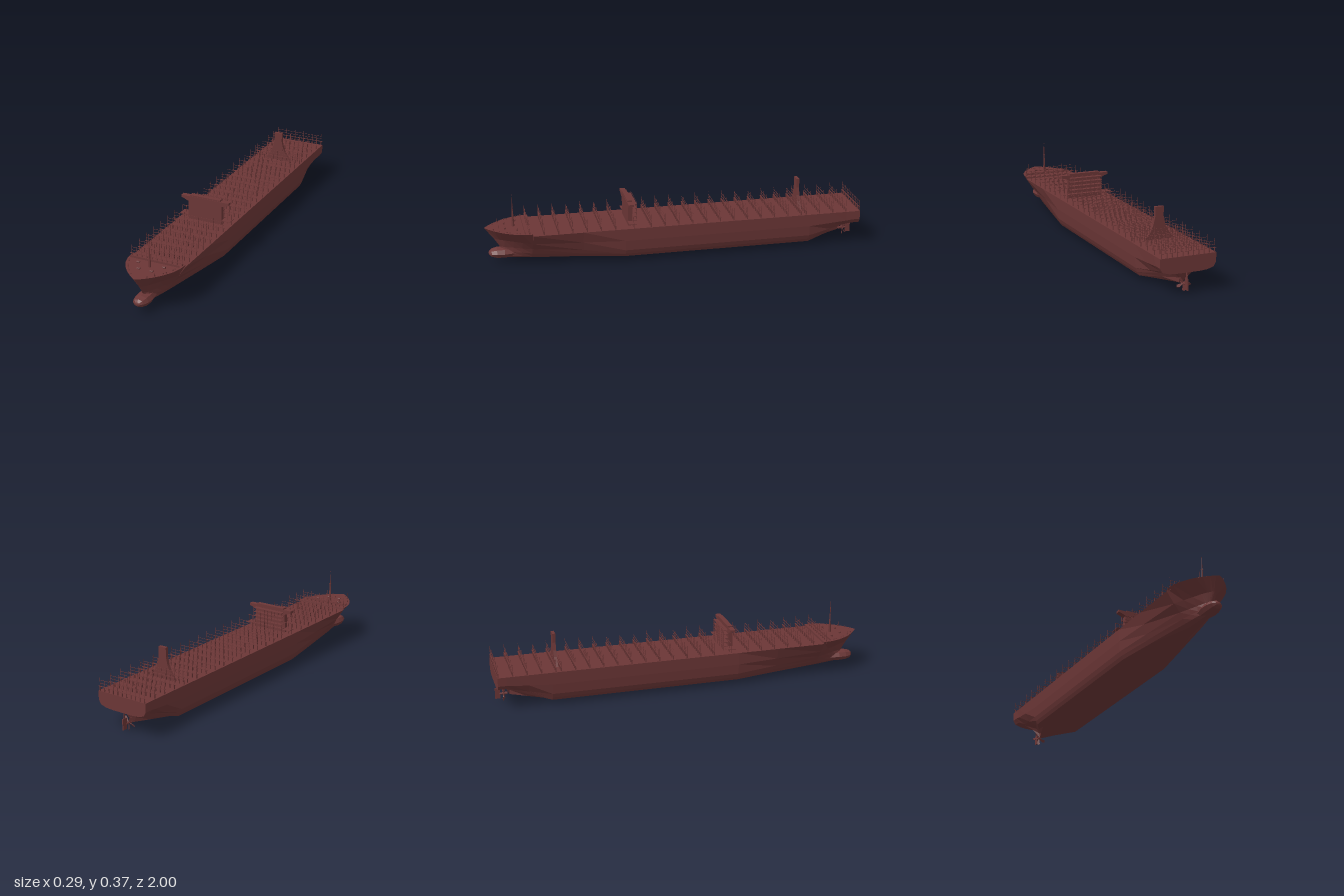
import * as THREE from 'three';
import { mergeGeometries } from 'three/addons/utils/BufferGeometryUtils.js';

const paint = new THREE.MeshStandardMaterial({ color: 0x6b3636, flatShading: true, side: THREE.DoubleSide });
paint.name = 'oxide red';

const DECK = 0.186, FORE = 0.197;

// Box given by its limits
function box(x0, x1, y0, y1, z0, z1) {
  return new THREE.BoxGeometry(x1 - x0, y1 - y0, z1 - z0)
    .translate((x0 + x1) / 2, (y0 + y1) / 2, (z0 + z1) / 2);
}

// Half sections from keel up to just below the deck edge
const transom = [[0, .105], [.03, .105], [.06, .105], [.1, .108], [.133, .118], [.146, .14]];
const skeg = [[0, .034], [.008, .035], [.01, .06], [.03, .085], [.105, .1], [.144, .135]];
const midship = [[0, .018], [.085, .018], [.12, .025], [.13, .042], [.139, .065], [.145, .12]];
const entry = [[0, .02], [.022, .021], [.046, .036], [.06, .058], [.076, .088], [.108, .128]];
const stem = [[0, .028], [.01, .03], [.021, .042], [.022, .066], [.02, .09], [.038, .134]];

// Deck edge narrows in a rounded curve over the bow
function deckHalf(z) {
  const t = Math.max(0, (z - .77) / .23);
  return .147 * Math.max(0, 1 - t * t) ** .9;
}

// Closed loop across the ship from [x, y, z] points of one side
const loop = half => [...half.slice(1).reverse(), ...half.map(([x, y, z]) => [-x, y, z])];

// Section blended between two others, closed with the deck edge
function section(z, a, b, t, deckY = DECK) {
  const half = a.map(([x, y], i) => [x + (b[i][0] - x) * t, y + (b[i][1] - y) * t, z]);
  return loop([...half, [deckHalf(z), deckY, z]]);
}

// Raked bow section: each waterline runs from the last frame to the stem
function bowSection(s) {
  const half = stem.map(([x, y]) => {
    const end = .917 + Math.max(0, y - .08) * .65;
    return [x * (1 - s) ** .8, y, .9 + (end - .9) * s];
  });
  const z = .9 + .1 * s;
  return loop([...half, [deckHalf(z), FORE, z]]);
}

function hullGeometry() {
  const loops = [
    section(-1, transom, skeg, 0),
    section(-.955, transom, skeg, .1),
    section(-.925, skeg, midship, 0),
    section(-.84, skeg, midship, .42),
    section(-.72, midship, midship, 0),
    section(.28, midship, midship, 0),
    section(.5, midship, entry, .45),
    section(.76, entry, stem, 0),
    section(.761, entry, stem, 0, FORE),
    section(.81, entry, stem, .35, FORE),
    section(.855, entry, stem, .68, FORE),
    ...[0, .25, .5, .75, .9, 1].map(bowSection),
  ];
  const n = loops[0].length, out = [];
  for (let i = 0; i < loops.length - 1; i++) {
    for (let j = 0; j < n; j++) {
      const k = (j + 1) % n;
      const a = loops[i][j], b = loops[i][k], c = loops[i + 1][j], d = loops[i + 1][k];
      out.push(...a, ...c, ...b, ...b, ...c, ...d);
    }
  }
  // flat stern
  for (let j = 1; j < n - 1; j++) out.push(...loops[0][0], ...loops[0][j], ...loops[0][j + 1]);
  const g = new THREE.BufferGeometry();
  g.setAttribute('position', new THREE.Float32BufferAttribute(out, 3));
  g.computeVertexNormals();
  return g;
}

// Blunt faceted bulb, turned around the z axis
function bulbGeometry() {
  const profile = [[.3, .74], [.7, .82], [1, .9], [.95, .94], [.7, .968], [.35, .98], [0, .983]]
    .map(([r, z]) => new THREE.Vector2(r, z));
  return new THREE.LatheGeometry(profile, 8).rotateX(Math.PI / 2).scale(.043, .03, 1).translate(0, .056, 0);
}

// Cross-deck lashing gantry: legs, walkway, hand rails and posts
function gantryGeometry() {
  const parts = [box(-.146, .146, .208, .2095, -.003, .003)];
  for (const y of [.224, .24]) parts.push(box(-.14, .14, y, y + .0014, -.001, .001));
  for (let i = -5; i <= 5; i++) {
    const x = i * .0276;
    parts.push(box(x - .0014, x + .0014, .185, .209, -.003, .003));
    parts.push(box(x - .0008, x + .0008, .209, i % 2 ? .254 : .241, -.0008, .0008));
  }
  return mergeGeometries(parts);
}

// Flat outline in x and y, given thickness along z
function plate(points, z0, z1) {
  const shape = new THREE.Shape(points.map(([x, y]) => new THREE.Vector2(x, y)));
  return new THREE.ExtrudeGeometry(shape, { depth: z1 - z0, bevelEnabled: false }).translate(0, 0, z0);
}

// Right half outline mirrored to a closed one
const mirrored = half => [...half, ...half.map(([x, y]) => [-x, y]).reverse()];

export function createModel() {
  const ship = new THREE.Group();
  ship.name = 'cargoShip';
  const add = (name, geometry, parent = ship) => {
    const mesh = new THREE.Mesh(geometry, paint);
    mesh.name = name;
    parent.add(mesh);
    return mesh;
  };
  const group = (name, parent = ship) => {
    const g = new THREE.Group();
    g.name = name;
    parent.add(g);
    return g;
  };

  add('hull', hullGeometry());
  add('bulbousBow', bulbGeometry());

  // Lashing gantries in three runs: aft of the funnel, amidships, ahead of the bridge
  const gantry = gantryGeometry();
  for (const [start, count] of [[-.996, 5], [-.672, 12], [.332, 7]]) {
    for (let i = 0; i < count; i++) add('lashingGantry', gantry).position.z = start + i * .0742;
  }

  // Bridge tower with wings and rear galleries
  const bridge = group('bridge');
  add('tower', box(-.095, .095, .185, .313, .236, .258), bridge);
  add('wheelhouseRoof', box(-.086, .086, .313, .32, .234, .26), bridge);
  add('bridgeWings', plate(mirrored([[.094, .286], [.118, .296], [.135, .301], [.135, .313]]), .234, .262), bridge);
  const gallery = [];
  for (let y = .21; y < .3; y += .022) {
    gallery.push(box(-.092, .092, y, y + .002, .21, .237));
    gallery.push(box(-.092, .092, y + .011, y + .0122, .21, .2112));
  }
  for (let i = -4; i <= 4; i++) {
    gallery.push(box(i * .0228 - .001, i * .0228 + .001, .185, .3, .21, .212));
  }
  add('rearGalleries', mergeGeometries(gallery), bridge);

  // Side platforms beside the tower
  const side = [box(-.024, .024, .208, .21, .21, .262), box(-.024, .024, .243, .245, .234, .237)];
  for (const x of [-.022, 0, .022]) side.push(box(x - .001, x + .001, .185, .245, .235, .237));
  const platform = mergeGeometries(side);
  for (const s of [-1, 1]) add('sidePlatform', platform, bridge).position.x = s * .119;

  // Funnel with flared foot
  add('funnel', plate(mirrored([[.08, .185], [.062, .206], [.045, .23], [.032, .26], [.0225, .3], [.0225, .349]]), -.692, -.676));

  // Foremast with cross arm
  const mast = group('foremast');
  mast.position.z = .85;
  add('mastPole', new THREE.CylinderGeometry(.003, .008, .1, 8).translate(0, .246, 0), mast);
  add('mastTop', new THREE.CylinderGeometry(.0008, .003, .074, 6).translate(0, .333, 0), mast);
  add('mastArm', box(-.006, .006, .298, .3, -.002, .002), mast);
  add('mastLight', box(-.003, .003, .367, .37, -.001, .001), mast);

  // Breakwater, bollards and winches on the foredeck
  add('breakwater', box(-.135, .135, .196, .208, .798, .801));
  const bollard = new THREE.CylinderGeometry(.003, .003, .007, 6);
  const winch = new THREE.CylinderGeometry(.005, .005, .016, 8).rotateZ(Math.PI / 2);
  const railPost = box(-.0008, .0008, .196, .232, -.0008, .0008);
  for (const s of [-1, 1]) {
    for (const z of [.825, .84, .875, .89, .925, .955]) {
      add('bollard', bollard).position.set(s * (deckHalf(z) - .015), .2, z);
    }
    for (const [x, z] of [[.035, .895], [.07, .835]]) add('winch', winch).position.set(s * x, .201, z);
    add('bowRailPost', railPost).position.set(s * .068, 0, .93);
  }

  // Rudder and propeller
  add('rudder', box(-.003, .003, .014, .072, -.999, -.972));
  add('rudderStock', box(-.002, .002, .07, .11, -.99, -.982));
  const propeller = group('propeller');
  propeller.position.set(0, .04, -.955);
  add('hub', new THREE.CylinderGeometry(.005, .008, .04, 8).rotateX(-Math.PI / 2), propeller);
  const blade = plate([[-.003, .004], [.003, .004], [.01, .028], [.004, .04], [-.007, .034]], -.001, .001).rotateY(.6);
  for (let i = 0; i < 5; i++) {
    add('blade', blade, propeller).rotation.z = Math.PI + i * Math.PI * 2 / 5;
  }
  return ship;
}
